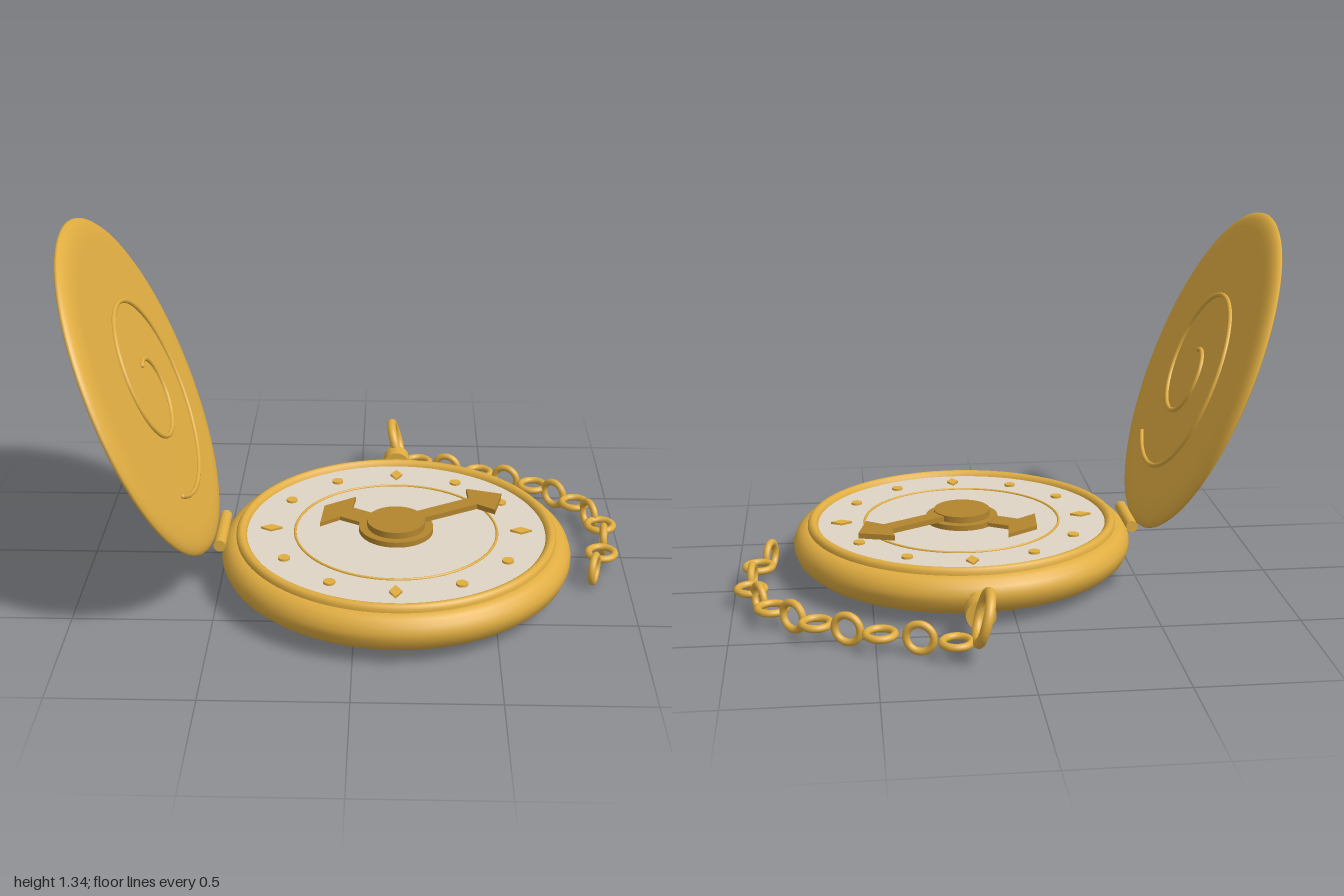
import * as THREE from 'three';

const gold = new THREE.MeshStandardMaterial({ color: 0xe0ad41 });
gold.name = 'gold';
const darkGold = new THREE.MeshStandardMaterial({ color: 0xb2852f });
darkGold.name = 'dark gold';
const ivory = new THREE.MeshStandardMaterial({ color: 0xdfd5c5 });
ivory.name = 'ivory';

function add(parent, name, geometry, material, x = 0, y = 0, z = 0) {
  const mesh = new THREE.Mesh(geometry, material);
  mesh.name = name;
  mesh.position.set(x, y, z);
  parent.add(mesh);
  return mesh;
}

const lathe = (pts) =>
  new THREE.LatheGeometry(pts.map(([r, y]) => new THREE.Vector2(r, y)), 96);

// Arrow-headed hand lying flat, pointing along +x
function handGeometry(halfWidth, neck, barbX, barbY, tip, depth) {
  const s = new THREE.Shape();
  s.moveTo(0, -halfWidth);
  s.lineTo(neck, -halfWidth);
  s.lineTo(barbX, -barbY);
  s.lineTo(tip, 0);
  s.lineTo(barbX, barbY);
  s.lineTo(neck, halfWidth);
  s.lineTo(0, halfWidth);
  s.closePath();
  return new THREE.ExtrudeGeometry(s, { depth, bevelEnabled: false }).rotateX(-Math.PI / 2);
}

class Spiral extends THREE.Curve {
  getPoint(t, target = new THREE.Vector3()) {
    const a = Math.PI / 2 - t * Math.PI * 3.2;
    const r = 0.07 + 0.36 * t;
    return target.set(-r * Math.sin(a), 0, -r * Math.cos(a));
  }
}

function buildWatch() {
  const watch = new THREE.Group();
  watch.name = 'watch';
  watch.position.set(0.145, 0, 0.165);

  // Case and bezel
  add(watch, 'case', lathe([
    [0, 0.043], [0.53, 0.043], [0.565, 0.045], [0.6, 0.056], [0.626, 0.08], [0.639, 0.112],
    [0.639, 0.135], [0.63, 0.16], [0.612, 0.18], [0.59, 0.189], [0.57, 0.19],
  ]), gold);
  add(watch, 'bezel', lathe([
    [0.585, 0.185], [0.585, 0.2], [0.578, 0.211], [0.567, 0.215], [0.556, 0.211], [0.547, 0.2], [0.545, 0.185],
  ]), gold);

  // Dial with ring and hour marks
  add(watch, 'dial', new THREE.CylinderGeometry(0.55, 0.55, 0.01, 96), ivory, 0, 0.19, 0);
  add(watch, 'dialRing', new THREE.TorusGeometry(0.37, 0.005, 8, 96).rotateX(Math.PI / 2), gold, 0, 0.196, 0);
  for (let i = 0; i < 12; i++) {
    const a = (i * Math.PI) / 6;
    const major = i % 3 === 0;
    const geo = major
      ? new THREE.CylinderGeometry(1, 1, 0.008, 4).scale(0.04, 1, 0.023)
      : new THREE.CylinderGeometry(0.021, 0.021, 0.008, 20);
    const mark = add(watch, major ? 'diamondMark' : 'dotMark', geo, gold,
      0.458 * Math.cos(a), 0.199, -0.458 * Math.sin(a));
    mark.rotation.y = a;
  }

  // Hands and their hubs
  const lower = add(watch, 'shortHand', handGeometry(0.044, 0.215, 0.25, 0.127, 0.312, 0.015), darkGold, 0, 0.198, 0);
  lower.rotation.y = (150 * Math.PI) / 180;
  add(watch, 'lowerHub', new THREE.CylinderGeometry(0.136, 0.136, 0.02, 48), darkGold, 0, 0.205, 0);
  const upper = add(watch, 'longHand', handGeometry(0.03, 0.332, 0.366, 0.1, 0.46, 0.02), darkGold, 0, 0.215, 0);
  upper.rotation.y = Math.PI / 6;
  add(watch, 'upperHub', new THREE.CylinderGeometry(0.106, 0.106, 0.025, 48), darkGold, 0, 0.2265, 0);

  // Crown and loop
  const cyl = (r, len) => new THREE.CylinderGeometry(r, r, len, 32).rotateX(Math.PI / 2);
  add(watch, 'crownStem', cyl(0.027, 0.14), gold, 0, 0.122, -0.665);
  add(watch, 'crownCap', cyl(0.052, 0.07), gold, 0, 0.122, -0.75);
  const loop = add(watch, 'crownLoop',
    new THREE.TorusGeometry(0.086, 0.018, 12, 48).rotateY(Math.PI / 2), gold, 0, 0.15, -0.871);
  loop.rotation.z = 0.26;

  // Hinge barrel
  add(watch, 'hinge', cyl(0.022, 0.245), gold, -0.638, 0.184, -0.003);
  return watch;
}

// Open lid with a raised spiral on its inner face
function buildLid() {
  const lid = new THREE.Group();
  lid.name = 'lid';
  lid.position.set(-0.77, 0.757, 0.167);
  lid.rotation.z = (-67.8 * Math.PI) / 180;
  add(lid, 'lidShell', lathe([
    [0, 0], [0.6, 0], [0.628, 0.001], [0.634, 0.006], [0.632, 0.014], [0.62, 0.024],
    [0.6, 0.032], [0.57, 0.037], [0.53, 0.039], [0, 0.039],
  ]), gold);
  const curve = new Spiral();
  add(lid, 'spiral', new THREE.TubeGeometry(curve, 160, 0.009, 8), gold, 0, 0.042, 0);
  for (const t of [0, 1]) {
    const p = curve.getPoint(t);
    add(lid, 'spiralEnd', new THREE.SphereGeometry(0.009, 10, 8), gold, p.x, 0.042, p.z);
  }
  return lid;
}

// Chain of alternating flat and upright links
function buildChain() {
  const chain = new THREE.Group();
  chain.name = 'chain';
  const centres = [
    [0.235, -0.7], [0.355, -0.652], [0.485, -0.605], [0.595, -0.548], [0.7, -0.49], [0.78, -0.417],
    [0.855, -0.337], [0.902, -0.24], [0.935, -0.145], [0.934, -0.033], [0.915, 0.08], [0.875, 0.2],
  ];
  centres.forEach(([x, z], i) => {
    const [ax, az] = centres[Math.max(i - 1, 0)];
    const [bx, bz] = centres[Math.min(i + 1, centres.length - 1)];
    const geo = new THREE.TorusGeometry(0.049, 0.0135, 10, 32);
    if (i % 2 === 0) geo.rotateX(Math.PI / 2);
    const link = add(chain, 'chainLink', geo, gold, x, 0.065, z);
    link.rotation.y = -Math.atan2(bz - az, bx - ax);
  });
  return chain;
}

export function createModel() {
  const model = new THREE.Group();
  model.name = 'pocketWatch';
  model.add(buildWatch(), buildLid(), buildChain());
  return model;
}
